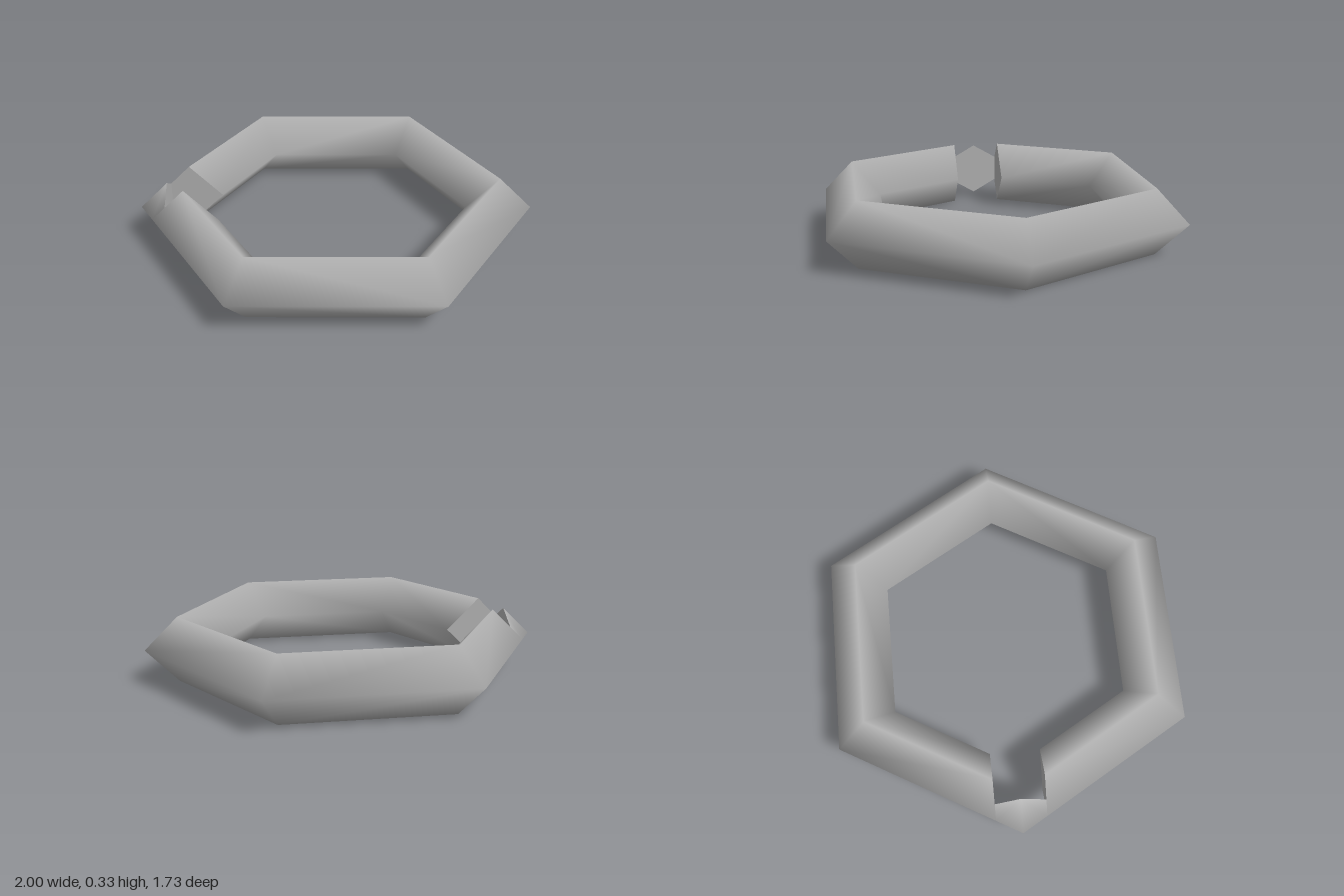
import * as THREE from 'three';

const R = 5 / 6, r = 1 / 6;          // ring radius and diamond tube radius
const CUT_X = -0.86, CUT_Z = 0.125;  // notch back wall and half width

// Corner of the diamond tube: i counts ring corners, j goes outer, top, inner, bottom
function corner(i, j) {
  const a = i * Math.PI / 3, b = j * Math.PI / 2;
  const n = new THREE.Vector3(Math.cos(b) * Math.cos(a), Math.sin(b), Math.cos(b) * Math.sin(a));
  const p = new THREE.Vector3(R * Math.cos(a), r, R * Math.sin(a)).addScaledVector(n, r);
  return { p, n };
}

const mix = (a, b, f) => ({ p: a.p.clone().lerp(b.p, f), n: a.n.clone().lerp(b.n, f).normalize() });
const mirror = (v) => ({
  p: new THREE.Vector3(v.p.x, v.p.y, -v.p.z),
  n: new THREE.Vector3(v.n.x, v.n.y, -v.n.z),
});

// Collects convex polygons and their mirror images, wound to face along their normals
class Surface {
  positions = [];
  normals = [];
  triangle(...t) {
    const [a, b, c] = t;
    const face = b.p.clone().sub(a.p).cross(c.p.clone().sub(a.p));
    const out = a.n.clone().add(b.n).add(c.n);
    for (const v of face.dot(out) < 0 ? [a, c, b] : t) {
      this.positions.push(...v.p.toArray());
      this.normals.push(...v.n.toArray());
    }
  }
  polygon(...v) {
    for (const side of [v, v.map(mirror)]) {
      for (let k = 1; k < side.length - 1; k++) this.triangle(side[0], side[k], side[k + 1]);
    }
  }
  flat(normal, ...v) {
    this.polygon(...v.map(({ p }) => ({ p, n: normal })));
  }
  mesh(name, material) {
    const g = new THREE.BufferGeometry();
    g.setAttribute('position', new THREE.Float32BufferAttribute(this.positions, 3));
    g.setAttribute('normal', new THREE.Float32BufferAttribute(this.normals, 3));
    const m = new THREE.Mesh(g, material);
    m.name = name;
    return m;
  }
}

export function createModel() {
  const metal = new THREE.MeshStandardMaterial({ color: 0xb4b4b4 });
  metal.name = 'grey metal';
  const group = new THREE.Group();
  group.name = 'notchedHexagonRing';

  // Half ring sections; the last one stops at the side of the notch
  const sections = [0, 1, 2, 3].map((i) => [0, 1, 2, 3].map((j) => corner(i, j)));
  const tip = sections[3];
  const end = sections[2].map((v, j) => mix(v, tip[j], 1 - CUT_Z / v.p.z));
  sections[3] = end;

  // Smooth hexagonal tube
  const tube = new Surface();
  for (let i = 0; i < 3; i++) {
    for (let j = 0; j < 4; j++) {
      const k = (j + 1) % 4;
      tube.polygon(sections[i][j], sections[i + 1][j], sections[i + 1][k], sections[i][k]);
    }
  }
  group.add(tube.mesh('ringTube', metal));

  // Points where the notch back wall meets the outer slopes (top, bottom)
  const onWall = (outer, ridge) => mix(outer, ridge, (CUT_X - outer.p.x) / (ridge.p.x - outer.p.x));
  const [endTop, endBottom] = [1, 3].map((j) => onWall(end[0], end[j]));
  const [tipTop, tipBottom] = [1, 3].map((j) => onWall(tip[0], tip[j]));

  // Outer bridge left standing behind the notch
  const bridge = new Surface();
  bridge.polygon(end[0], tip[0], tipTop, endTop);
  bridge.polygon(end[0], tip[0], tipBottom, endBottom);
  group.add(bridge.mesh('outerBridge', metal));

  // Flat walls of the notch
  const walls = new Surface();
  walls.flat(new THREE.Vector3(1, 0, 0), endTop, tipTop, tipBottom, endBottom);
  walls.flat(new THREE.Vector3(0, 0, -1), endTop, end[1], end[2], end[3], endBottom);
  group.add(walls.mesh('notchWalls', metal));

  return group;
}
